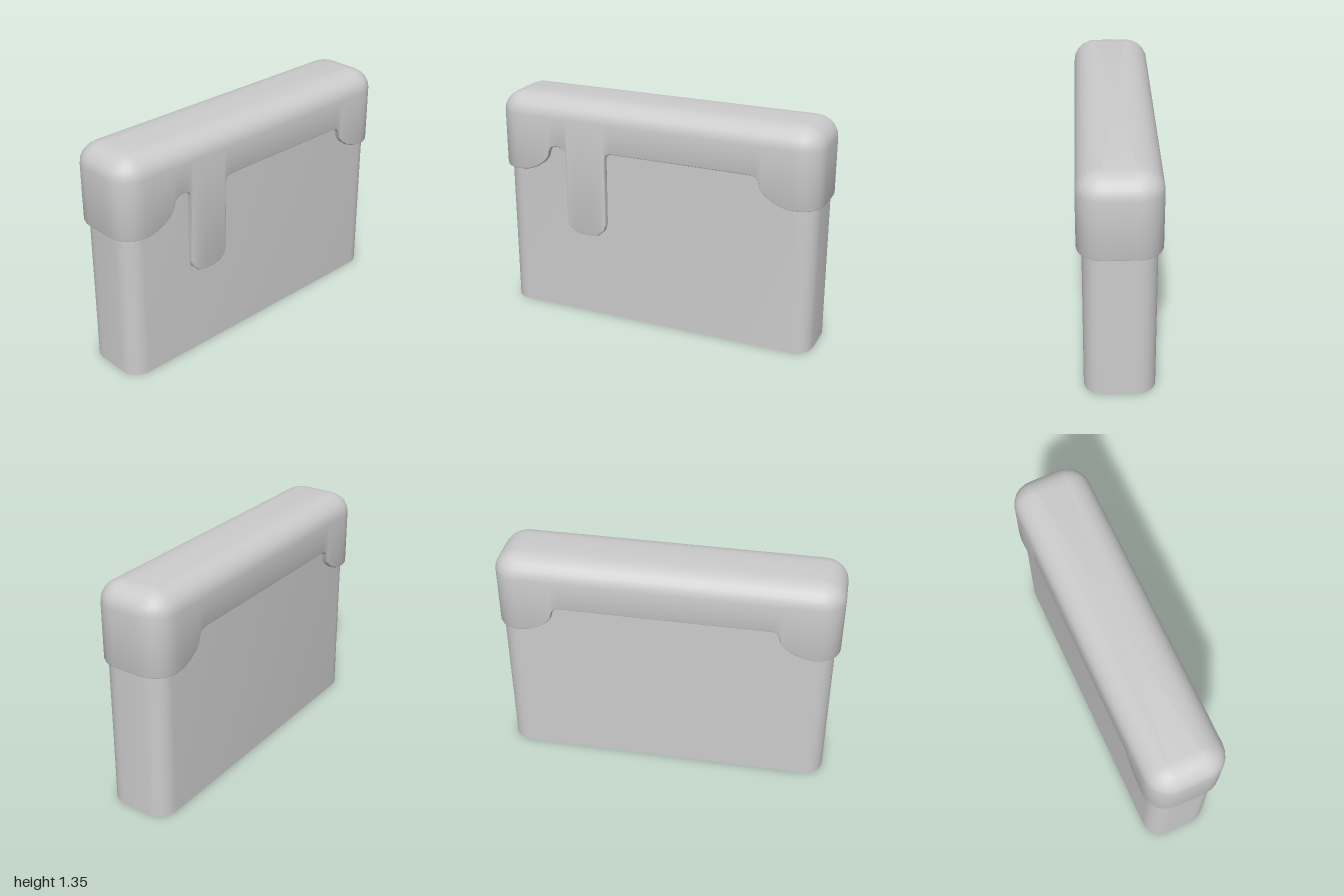
import * as THREE from 'three';
import { toCreasedNormals } from 'three/addons/utils/BufferGeometryUtils.js';

const CX = 0.09, CZ = 0.86;   // centres of the rounded corners
const R = 0.14;               // corner radius of the cap
const RIM = 0.885;            // height of the cap's lower edge at the ends

// Lower edge of the cap on a long side, as [z, y]
const frontCurve = [[0.86, RIM], [0.8, 0.893], [0.74, 0.915], [0.69, 0.95], [0.662, 0.985],
  [0.65, 1.03], [0.635, 1.049], [0.61, 1.056]];
const backCurve = frontCurve.map(([z, y]) => [-z, y]).reverse();
const clipEdge = [[0.58, 1.056], [0.558, 1.048], [0.545, 1.025], [0.545, 0.615], [0.533, 0.57],
  [0.495, 0.534], [0.445, 0.523], [0.385, 0.523], [0.335, 0.534], [0.297, 0.57], [0.285, 0.615],
  [0.285, 1.025], [0.275, 1.047], [0.25, 1.056]];
const plainSide = [...frontCurve, ...backCurve];
const clipSide = [...frontCurve, ...clipEdge, ...backCurve];

// Columns around a rounded rectangle: corner centre c, outward direction n, lower height
function outline(rightSide, leftSide) {
  const cols = [];
  const side = (sx, pts) => pts.forEach(([z, y]) =>
    cols.push({ cx: sx * CX, cz: z, nx: sx, nz: 0, low: y }));
  const corner = (sx, sz, from) => {
    for (let i = 0; i <= 6; i++) {
      const a = from - (i / 6) * Math.PI / 2;
      cols.push({ cx: sx * CX, cz: sz * CZ, nx: Math.cos(a), nz: Math.sin(a), low: RIM });
    }
  };
  side(1, rightSide);
  corner(1, -1, 0);
  corner(-1, -1, -Math.PI / 2);
  side(-1, leftSide.slice().reverse());
  corner(-1, 1, Math.PI);
  corner(1, 1, Math.PI / 2);
  // drop columns that repeat the previous one
  return cols.filter((c, i) => {
    const p = cols[(i + cols.length - 1) % cols.length];
    return Math.hypot(c.cx + R * c.nx - p.cx - R * p.nx, c.cz + R * c.nz - p.cz - R * p.nz, c.low - p.low) > 1e-5;
  });
}

// Skin a list of rings from the bottom up; an apex closes the top
function skin(rings, apex) {
  const n = rings[0].length, pos = rings.flat(2), index = [];
  for (let j = 0; j < rings.length - 1; j++) {
    for (let i = 0; i < n; i++) {
      const k = (i + 1) % n, a = j * n + i, b = j * n + k;
      index.push(a, b, b + n, a, b + n, a + n);
    }
  }
  if (apex) {
    const base = (rings.length - 1) * n, tip = rings.length * n;
    pos.push(...apex);
    for (let i = 0; i < n; i++) index.push(base + i, base + (i + 1) % n, tip);
  }
  const g = new THREE.BufferGeometry();
  g.setAttribute('position', new THREE.Float32BufferAttribute(pos, 3));
  g.setIndex(index);
  return toCreasedNormals(g, 0.7);
}

function capGeometry() {
  const cols = outline(clipSide, plainSide), n = cols.length;
  const at = (c, r) => [c.cx + r * c.nx, c.cz + r * c.nz];
  // direction square to the lower edge, pointing into the wall
  const inward = cols.map((c, i) => {
    const p = cols[(i + n - 1) % n], q = cols[(i + 1) % n];
    const [px, pz] = at(p, R), [qx, qz] = at(q, R);
    const hx = qx - px, hz = qz - pz, dy = q.low - p.low;
    const h = Math.hypot(hx, hz) || 1e-6, len = Math.hypot(h, dy);
    return [-dy * hx / h / len, h / len, -dy * hz / h / len];
  });
  const ring = (r, off, y) => cols.map((c, i) => {
    const [x, z] = at(c, r), d = inward[i];
    return [x + off * d[0], y ?? c.low + off * d[1], z + off * d[2]];
  });
  // underside, small rounded rim, then the wall
  const rings = [ring(0.105, 0), ring(0.129, 0), ring(0.137, 0.004), ring(R, 0.012)];
  // large rounding up to the flat top
  for (let i = 0; i <= 6; i++) {
    const a = (i / 6) * Math.PI / 2;
    rings.push(ring(R * Math.cos(a), 0.012, 1.23 + 0.12 * Math.sin(a)));
  }
  return skin(rings, [0, 1.35, 0]);
}

function bodyGeometry() {
  const ends = [[CZ, RIM], [-CZ, RIM]];
  const cols = outline(ends, ends);
  const ring = y => cols.map(c => [c.cx + 0.11 * c.nx, y, c.cz * 1.005 + 0.11 * c.nz - 0.005]);
  return skin([ring(0), ring(1.15)]);
}

export function createModel() {
  const group = new THREE.Group();
  const material = new THREE.MeshStandardMaterial({ color: 0xcccccc, side: THREE.DoubleSide });
  const add = (name, geometry) => {
    const mesh = new THREE.Mesh(geometry, material);
    mesh.name = name;
    group.add(mesh);
  };
  add('body', bodyGeometry());        // hollow sleeve, open below
  add('capWithClip', capGeometry());  // cap with a hanging clip on the right
  return group;
}
